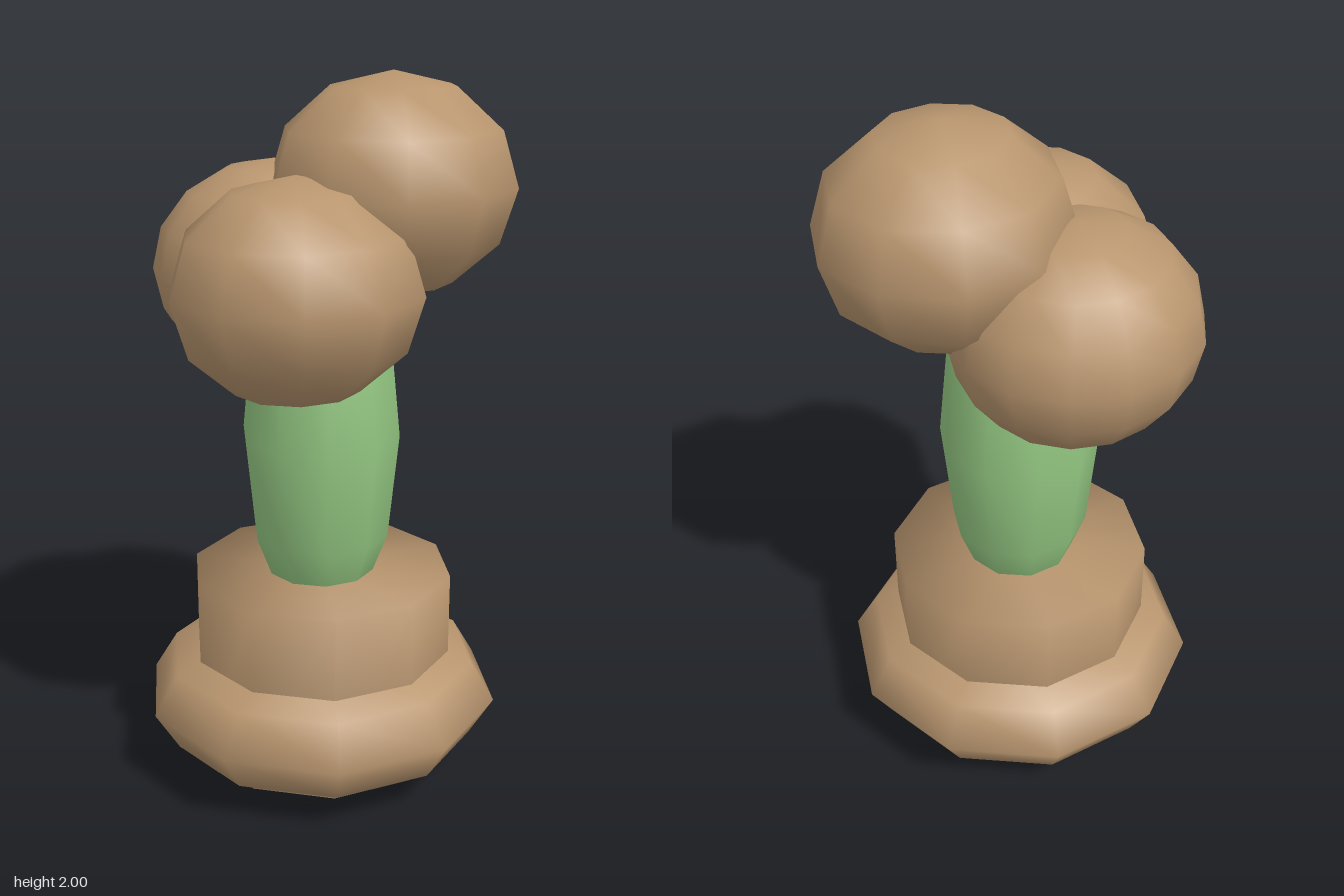
import * as THREE from 'three';
import { mergeVertices } from 'three/addons/utils/BufferGeometryUtils.js';

export function createModel() {
  const group = new THREE.Group();
  const brown = new THREE.MeshStandardMaterial({ color: 0xb8956e });
  brown.name = 'brown';
  const green = new THREE.MeshStandardMaterial({ color: 0x92c580 });
  green.name = 'green';

  function add(name, geometry, material, x, y, z) {
    const mesh = new THREE.Mesh(geometry, material);
    mesh.name = name;
    mesh.position.set(x, y, z);
    group.add(mesh);
  }

  // Low-sided smooth ellipsoid with a corner on the z axis
  function ellipsoid(rx, ry, rz, sides = 10, rings = 6) {
    return new THREE.SphereGeometry(1, sides, rings).rotateY(Math.PI / 2).scale(rx, ry, rz);
  }

  // Ten-sided drum whose caps share smooth normals with the wall
  function smoothDrum(radius, height) {
    const g = new THREE.CylinderGeometry(radius, radius, height, 10);
    g.deleteAttribute('uv');
    g.deleteAttribute('normal');
    const merged = mergeVertices(g);
    merged.computeVertexNormals();
    return merged;
  }

  // Squashed base with a drum through it
  add('base', ellipsoid(0.513, 0.228, 0.513), brown, 0, 0.23, 0.007);
  add('pot', smoothDrum(0.375, 0.54), brown, 0, 0.34, 0.009);

  // Trunk
  add('trunk', ellipsoid(0.225, 0.6, 0.223), green, 0, 1.02, 0.007);

  // Crown of three balls
  add('rightBall', ellipsoid(0.347, 0.3, 0.333), brown, -0.17, 1.46, 0.1025);
  add('topBall', ellipsoid(0.347, 0.3, 0.333), brown, 0.17, 1.7, 0.1025);
  add('backBall', ellipsoid(0.345, 0.3, 0.33, 14, 8), brown, 0, 1.458, -0.187);

  return group;
}
